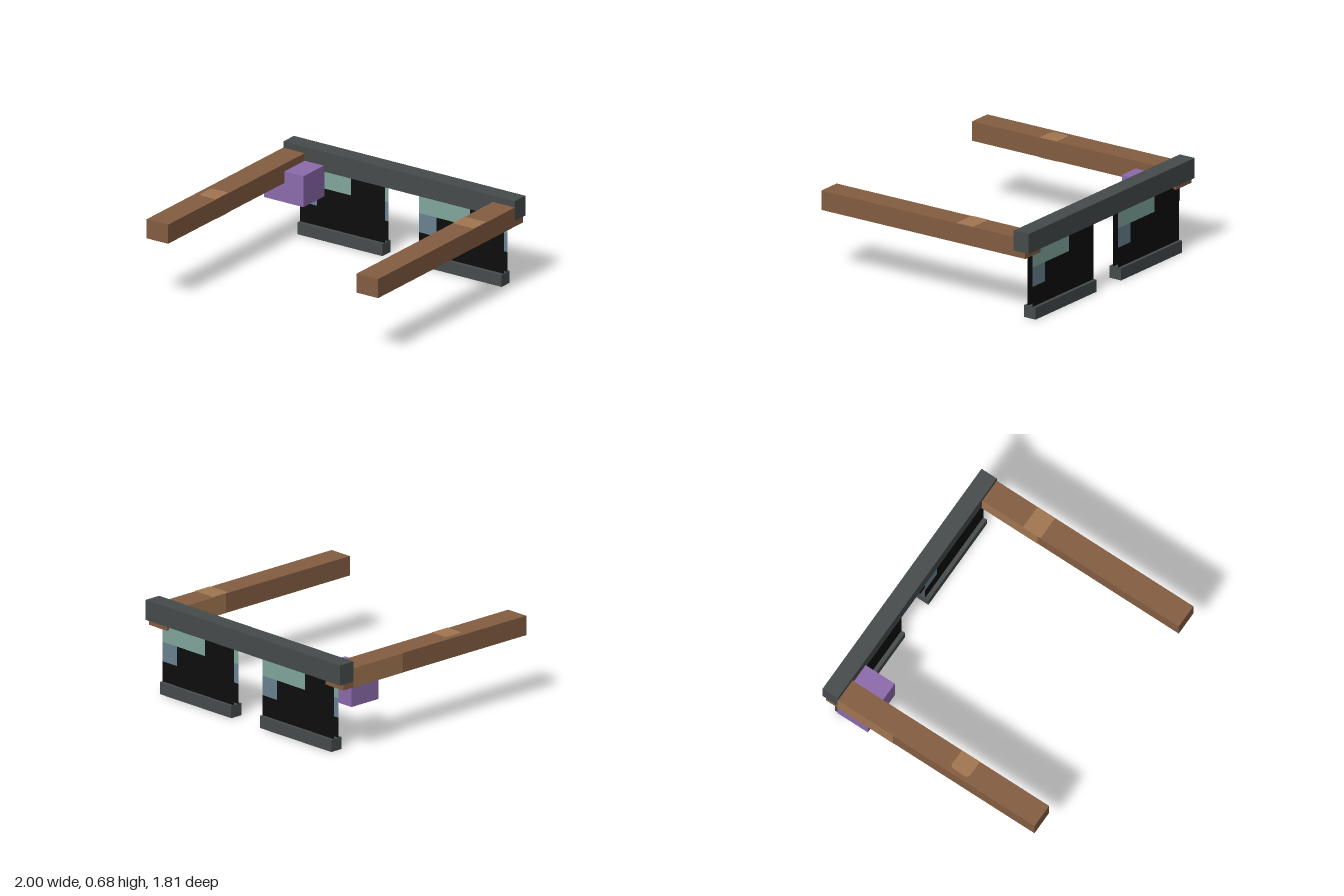
import * as THREE from 'three';

export function createModel() {
  const group = new THREE.Group();
  const makeMaterial = (name, color, side = THREE.FrontSide) => {
    const m = new THREE.MeshStandardMaterial({ color, side });
    m.name = name;
    return m;
  };
  const grey = makeMaterial('frame grey', 0x464b4b);
  const brown = makeMaterial('arm brown', 0x845d41);
  const lightBrown = makeMaterial('patch light brown', 0xa27650);
  const purple = makeMaterial('block purple', 0x8d6bae);
  const black = makeMaterial('lens black', 0x0d0d0d, THREE.DoubleSide);
  const teal = makeMaterial('lens teal', 0x82a79d, THREE.DoubleSide);
  const blue = makeMaterial('lens blue', 0x6a8291, THREE.DoubleSide);

  const add = (parent, name, geometry, material) => {
    const mesh = new THREE.Mesh(geometry, material);
    mesh.name = name;
    parent.add(mesh);
    return mesh;
  };
  // Box given by its extents on each axis
  const box = (name, material, [x0, x1], [y0, y1], [z0, z1], parent = group) => {
    const g = new THREE.BoxGeometry(x1 - x0, y1 - y0, z1 - z0);
    g.translate((x0 + x1) / 2, (y0 + y1) / 2, (z0 + z1) / 2);
    return add(parent, name, g, material);
  };

  // Brow bar and side block
  box('browBar', grey, [-1, 1], [0.53, 0.68], [-0.905, -0.775]);
  box('sideBlock', purple, [-0.99, -0.65], [0.34, 0.575], [-0.785, -0.525]);

  // Temple arms, each with a pale area on its -x side near the hinge
  for (const [name, x0] of [['rightArm', -1], ['leftArm', 0.815]]) {
    box(name, brown, [x0, x0 + 0.185], [0.487, 0.632], [-0.875, 0.905]);
    box(name + 'SidePatch', lightBrown, [x0 - 0.002, x0], [0.487, 0.632], [-0.775, -0.3]);
  }

  // Pale patches: full width on the left arm, round-ended on the right arm
  box('leftArmTopPatch', lightBrown, [0.815, 1], [0.632, 0.635], [-0.425, -0.275]);
  const r = 0.035;
  const patch = new THREE.Shape();
  patch.moveTo(-0.815, -0.315);
  patch.lineTo(-0.815, -0.16);
  patch.lineTo(-0.965 + r, -0.16);
  patch.quadraticCurveTo(-0.965, -0.16, -0.965, -0.16 - r);
  patch.lineTo(-0.965, -0.315 + r);
  patch.quadraticCurveTo(-0.965, -0.315, -0.965 + r, -0.315);
  for (const [name, y] of [['rightArmTopPatch', 0.632], ['rightArmBottomPatch', 0.484]]) {
    const g = new THREE.ExtrudeGeometry(patch, { depth: 0.003, bevelEnabled: false });
    g.rotateX(-Math.PI / 2);
    g.translate(0, y, 0);
    add(group, name, g, lightBrown);
  }

  // Each lens face is tiled from flat colours: [name, material, u0, u1, y0, y1]
  const tiles = [
    ['tealGlint', teal, 0, 0.44, 0.385, 0.535],
    ['blueGlint', blue, 0, 0.15, 0.24, 0.385],
    ['darkTop', black, 0.44, 0.735, 0.385, 0.535],
    ['darkMiddle', black, 0.15, 0.735, 0.24, 0.385],
    ['darkBottom', black, 0, 0.735, 0.085, 0.24],
  ];
  for (const [name, x0] of [['rightLens', -0.882], ['leftLens', 0.147]]) {
    const lens = new THREE.Group();
    lens.name = name;
    group.add(lens);
    box('lowerRim', grey, [x0, x0 + 0.735], [0, 0.09], [-0.88, -0.78], lens);
    // The back face repeats the front face turned around
    for (const back of [false, true]) {
      for (const [tile, material, u0, u1, y0, y1] of tiles) {
        const g = new THREE.PlaneGeometry(u1 - u0, y1 - y0);
        if (back) g.rotateY(Math.PI);
        const u = (u0 + u1) / 2;
        g.translate(x0 + (back ? 0.735 - u : u), (y0 + y1) / 2, back ? -0.855 : -0.81);
        add(lens, (back ? 'back ' : 'front ') + tile, g, material);
      }
    }
  }
  return group;
}
